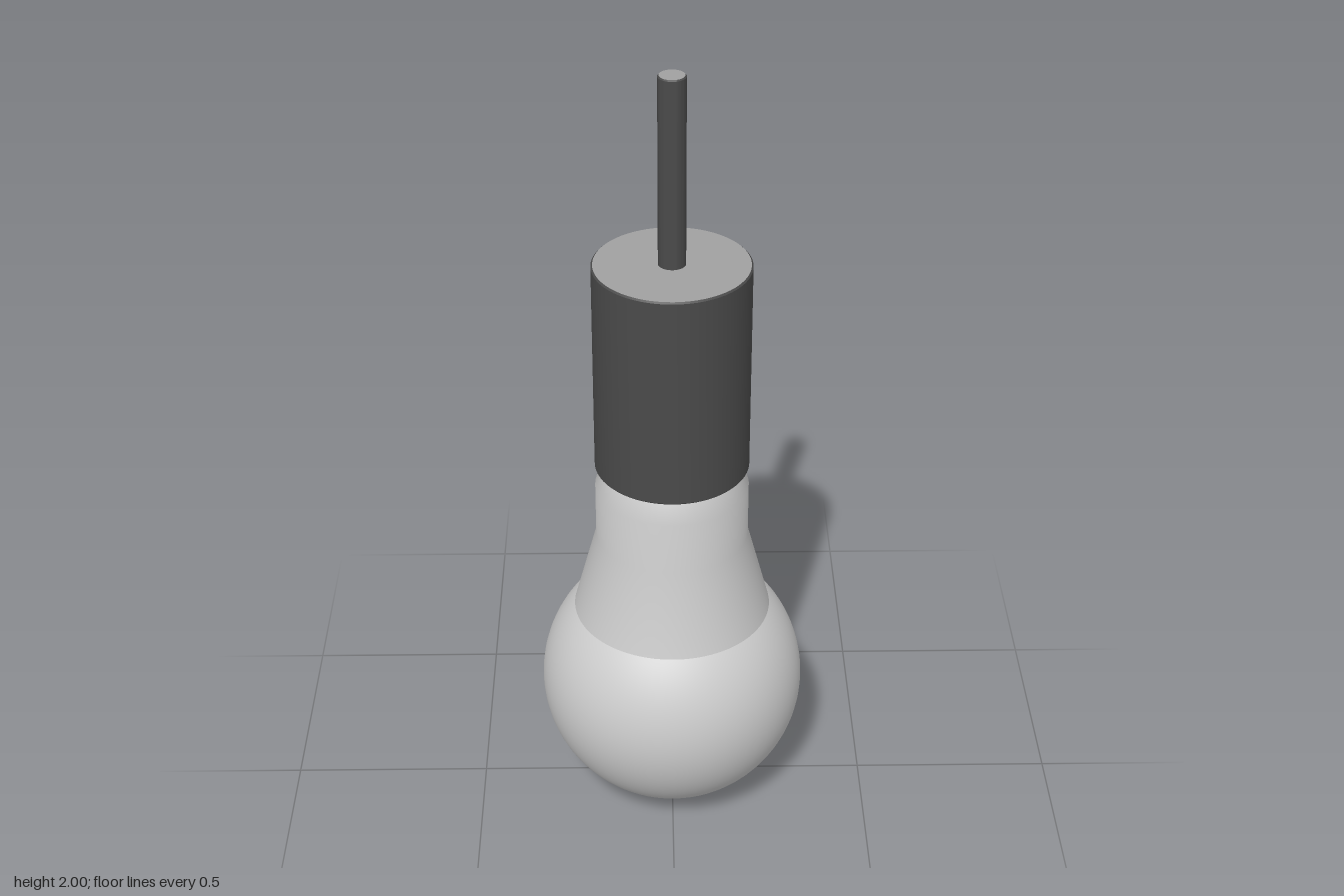
import * as THREE from 'three';
import { toCreasedNormals } from 'three/addons/utils/BufferGeometryUtils.js';

const SEGMENTS = 64;
const glass = new THREE.MeshStandardMaterial({ color: 0xcccccc });
const dark = new THREE.MeshStandardMaterial({ color: 0x4a4a4a });
const capGrey = new THREE.MeshStandardMaterial({ color: 0xa0a0a0 });

function addMesh(parent, name, geometry, material) {
  const mesh = new THREE.Mesh(geometry, material);
  mesh.name = name;
  parent.add(mesh);
  return mesh;
}

// Turned surface from [radius, height] pairs, listed from bottom to top
function turned(profile) {
  return new THREE.LatheGeometry(profile.map(([r, y]) => new THREE.Vector2(r, y)), SEGMENTS);
}

// Upright dark rod with slightly chamfered rims and a lighter top face
function rod(name, radius, y0, y1, bevel) {
  const group = new THREE.Group();
  group.name = name;
  const body = turned([
    [0, y0], [radius - bevel, y0], [radius, y0 + bevel],
    [radius, y1 - bevel], [radius - bevel, y1],
  ]);
  addMesh(group, name + 'Body', toCreasedNormals(body, 0.5), dark);
  const top = addMesh(group, name + 'Top', new THREE.CircleGeometry(radius - bevel, SEGMENTS), capGrey);
  top.rotation.x = -Math.PI / 2;
  top.position.y = y1;
  return group;
}

export function createModel() {
  const model = new THREE.Group();
  model.name = 'pendantLamp';

  // Bulb: a globe cut open where the neck begins
  const globeRadius = 0.335;
  const seamY = 0.56;
  const cut = Math.acos((seamY - globeRadius) / globeRadius);
  const globe = addMesh(model, 'bulbGlobe',
    new THREE.SphereGeometry(globeRadius, SEGMENTS, 40, 0, Math.PI * 2, cut, Math.PI - cut), glass);
  globe.position.y = globeRadius;

  // Neck: flares out of the globe, runs straight, then tapers into the socket
  addMesh(model, 'bulbNeck', turned([
    [globeRadius * Math.sin(cut), seamY], [0.19, 0.78], [0.19, 0.92], [0.152, 0.99],
  ]), glass);

  // Socket and hanging cord
  model.add(rod('socket', 0.19, 0.98, 1.53, 0.004));
  model.add(rod('cord', 0.033, 1.525, 2, 0.003));

  return model;
}
